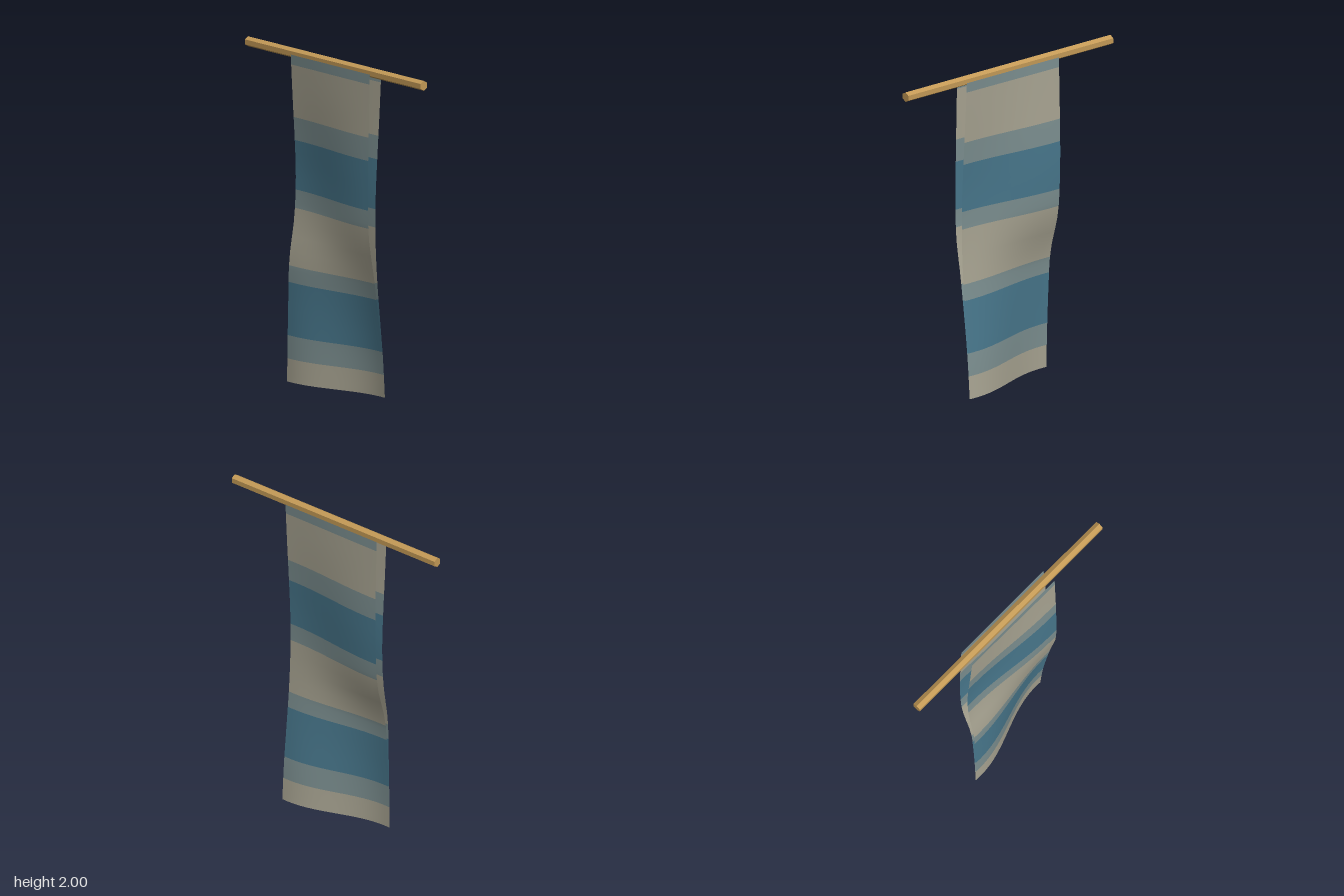
import * as THREE from 'three';

const HALF_WIDTH = 0.353, TOP = 1.97;

const material = (name, color, extra = {}) => {
  const m = new THREE.MeshStandardMaterial({ color, ...extra });
  m.name = name;
  return m;
};

// Cloth shape at nine even heights, bottom to top: twist, half gap, offset
const folds = new THREE.CatmullRomCurve3([
  [-0.074, 0.001, 0.000], [-0.062, 0.003, 0.006], [-0.044, 0.006, 0.015],
  [-0.022, 0.012, 0.022], [0.018, 0.026, 0.009], [0.027, 0.030, 0.002],
  [0.021, 0.036, 0.000], [0.010, 0.041, 0.000], [0.000, 0.045, 0.000],
].map((p) => new THREE.Vector3(...p)), false, 'catmullrom', 0.5);

// Stripe edges from top to bottom, and the material of each stripe
const edges = [TOP, 1.91, 1.59, 1.45, 1.15, 1.04, 0.7, 0.6, 0.28, 0.14, 0];
const stripes = [1, 0, 1, 2, 1, 0, 1, 2, 1, 0];
const ROWS = 4, COLS = 16;

// One hanging layer of cloth: side is +1 for the front, -1 for the back
function clothLayer(side) {
  const rows = stripes.length * ROWS;
  const geo = new THREE.PlaneGeometry(2 * HALF_WIDTH, TOP, COLS, rows);
  if (side < 0) geo.rotateY(Math.PI);
  const pos = geo.attributes.position;
  for (let i = 0; i < pos.count; i++) {
    const row = Math.floor(i / (COLS + 1));
    const band = Math.min(Math.floor(row / ROWS), stripes.length - 1);
    const y = THREE.MathUtils.lerp(edges[band], edges[band + 1], row / ROWS - band);
    const f = folds.getPoint(y / TOP);
    pos.setY(i, y);
    pos.setZ(i, f.x * Math.sin(5 * pos.getX(i)) + side * f.y + f.z);
  }
  geo.computeVertexNormals();
  const perBand = ROWS * COLS * 6;
  stripes.forEach((m, b) => geo.addGroup(b * perBand, perBand, m));
  return geo;
}

export function createModel() {
  const group = new THREE.Group();
  group.name = 'hangingBanner';

  const cloth = [
    material('beigeCloth', 0xa8a492, { side: THREE.DoubleSide }),
    material('greyBlueCloth', 0x7c8f90, { side: THREE.DoubleSide }),
    material('blueCloth', 0x48778c, { side: THREE.DoubleSide }),
  ];
  for (const [name, side] of [['frontCloth', 1], ['backCloth', -1]]) {
    const layer = new THREE.Mesh(clothLayer(side), cloth);
    layer.name = name;
    group.add(layer);
  }

  // Six-sided wooden pole with an edge pointing up
  const poleGeo = new THREE.CylinderGeometry(0.03, 0.03, 1.57, 6, 1, false, Math.PI / 2);
  poleGeo.rotateZ(Math.PI / 2);
  const pole = new THREE.Mesh(poleGeo, material('wood', 0xc49a56, { flatShading: true }));
  pole.name = 'pole';
  pole.position.y = 1.97;
  group.add(pole);

  return group;
}
